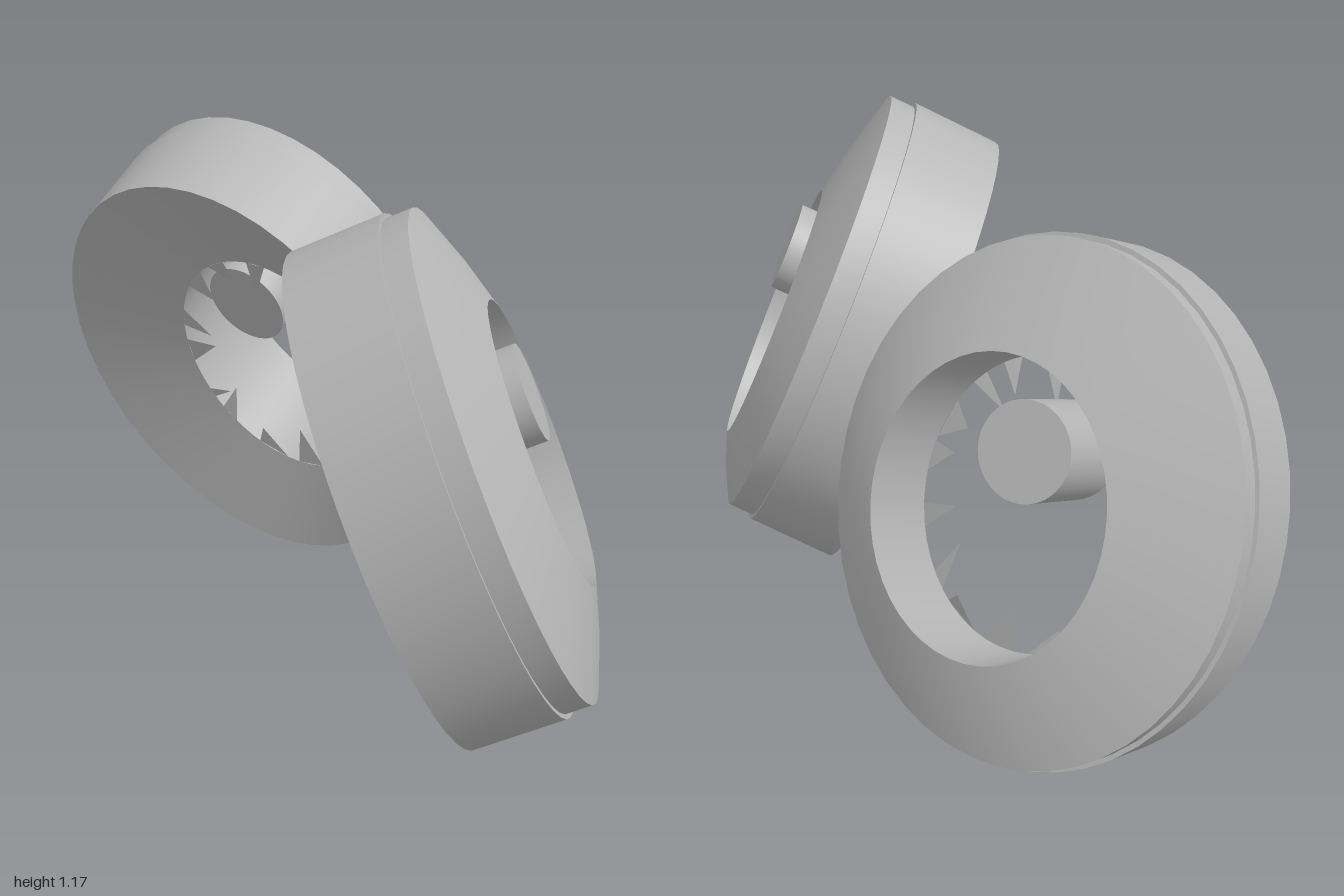
import * as THREE from 'three';

const V = (x, y, z) => new THREE.Vector3(x, y, z);
const SEG = 48;

// Frame of one tilted oval ring
const AXIS = V(0.80, 0.38, 0.46).normalize();
const LONG = V(-0.27, 0.92, -0.25).projectOnPlane(AXIS).normalize();
const WIDE = AXIS.clone().cross(LONG);
const LONG_R = 0.565, WIDE_R = 0.478;
const DEPTH = V(0.21, 0.12, 0.145);        // back rim to front rim
const FRONT = V(0.105, 0.645, 0.565);      // centre of the front rim
const HOLE = V(0.205, 0.65, 0.545);        // centre of the opening
const OPENING = 0.585;                     // opening size relative to the rim

const along = (c, t) => c.clone().addScaledVector(DEPTH, t);

// Point of an oval section at angle t
function oval({ c, a, b }, t) {
  return c.clone().addScaledVector(LONG, a * Math.cos(t)).addScaledVector(WIDE, b * Math.sin(t));
}
const section = (c, s) => ({ c, a: LONG_R * s, b: WIDE_R * s });
const round = (c, r) => ({ c, a: r, b: r });

function build(pos, idx) {
  const g = new THREE.BufferGeometry();
  g.setAttribute('position', new THREE.Float32BufferAttribute(pos, 3));
  if (idx) g.setIndex(idx);
  g.computeVertexNormals();
  return g;
}

// Smooth skin through a row of sections; side = -1 mirrors it in z
function loft(sections, side) {
  const pos = [], idx = [];
  sections.forEach((sec, i) => {
    for (let j = 0; j < SEG; j++) {
      const p = oval(sec, (j / SEG) * Math.PI * 2);
      pos.push(p.x, p.y, p.z * side);
      if (i === sections.length - 1) continue;
      const k = (j + 1) % SEG;
      const p0 = i * SEG + j, p1 = i * SEG + k, q0 = p0 + SEG, q1 = p1 + SEG;
      if (side > 0) idx.push(p0, p1, q0, p1, q1, q0);
      else idx.push(p0, q0, p1, p1, q0, q1);
    }
  });
  return build(pos, idx);
}

// Ragged shards pointing inward around the back end of the opening
function shards(centre, side) {
  let seed = 11;
  const rnd = () => (seed = (seed * 16807) % 2147483647) / 2147483647;
  const pos = [];
  const n = 16;
  for (let i = 0; i < n; i++) {
    const t = ((i + 0.5 * rnd()) / n) * Math.PI * 2, w = 0.04 + 0.12 * rnd();
    const base = section(centre, OPENING);
    const tip = section(along(centre, 0.1 * rnd()), 0.39 + 0.13 * rnd());
    const pts = [oval(base, t - w), oval(base, t + w), oval(tip, t + 0.35 * (rnd() - 0.5))];
    if (side < 0) pts.reverse();
    pts.forEach((p) => pos.push(p.x, p.y, p.z * side));
  }
  return build(pos);
}

export function createModel() {
  const model = new THREE.Group();
  model.name = 'ringPair';
  const grey = new THREE.MeshStandardMaterial({ color: 0xb8b8b8, side: THREE.DoubleSide });
  grey.name = 'grey';

  const back = along(FRONT, -1), step = along(FRONT, -0.22), tunnelEnd = along(HOLE, -0.95);
  const middle = FRONT.clone().lerp(HOLE, 0.54);
  const pinFront = V(0.143, 0.795, 0.595), pinBack = V(-0.05, 0.69, 0.47);

  for (const side of [1, -1]) {
    const ring = new THREE.Group();
    ring.name = side > 0 ? 'frontRing' : 'backRing';
    const add = (name, geometry) => {
      const m = new THREE.Mesh(geometry, grey);
      m.name = name;
      ring.add(m);
    };

    // Housing with a small step behind the front plate
    add('outerWall', loft([section(back, 1.02), section(step, 1.02)], side));
    add('step', loft([section(step, 1.02), section(step, 1)], side));
    add('plateEdge', loft([section(step, 1), section(FRONT, 1)], side));
    add('frontFace', loft([section(FRONT, 1), section(middle, 0.8), section(HOLE, OPENING)], side));
    add('openingWall', loft([section(HOLE, OPENING), section(tunnelEnd, OPENING)], side));
    add('backCavity', loft([section(tunnelEnd, OPENING), section(back, 1.02)], side));
    add('raggedEdge', shards(tunnelEnd, side));

    // Pin in the upper part of the opening
    add('pinWall', loft([round(pinBack, 0.108), round(pinFront, 0.108)], side));
    add('pinFrontCap', loft([round(pinFront, 0.108), round(pinFront, 0)], side));
    add('pinBackCap', loft([round(pinBack, 0), round(pinBack, 0.108)], side));
    model.add(ring);
  }
  return model;
}
